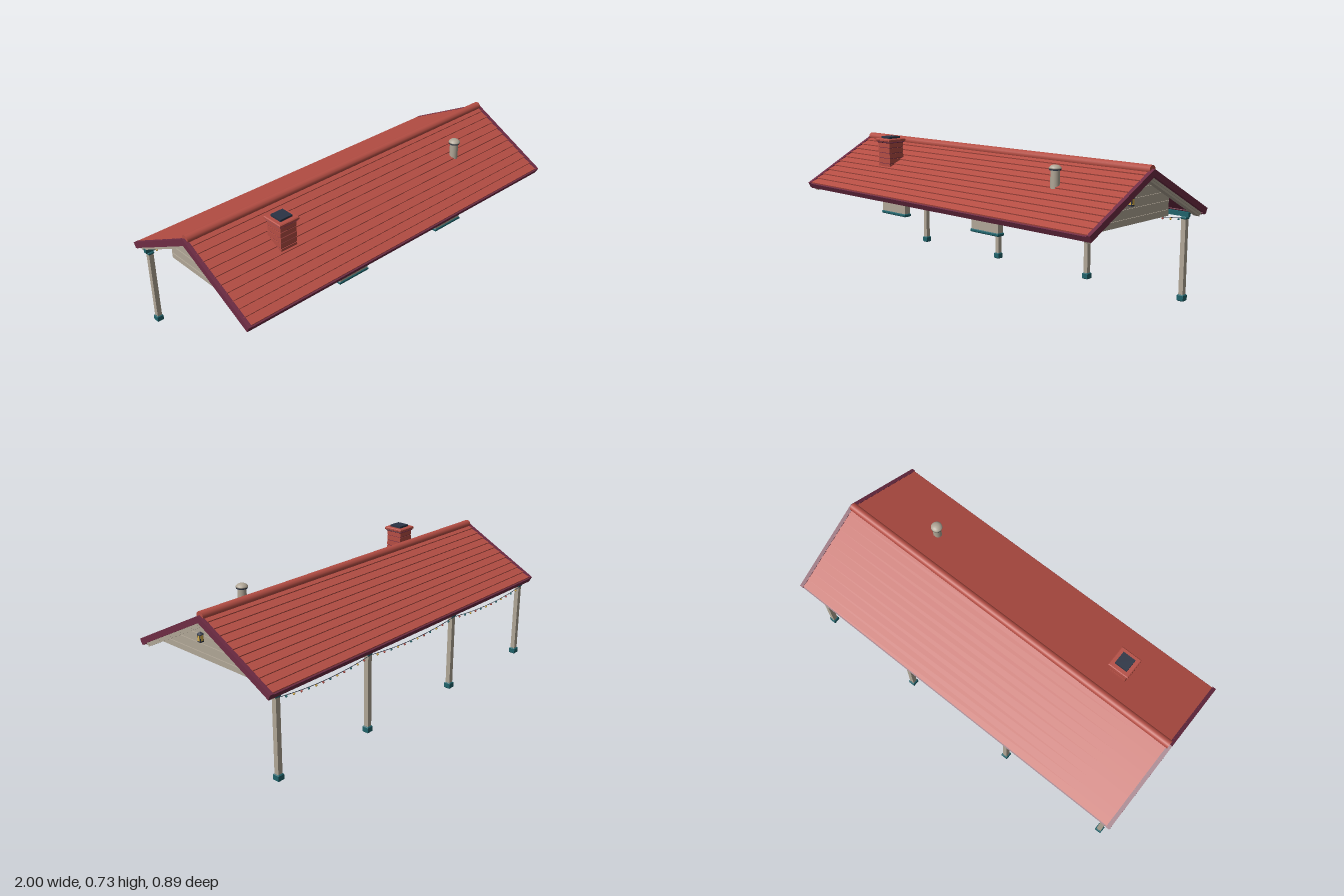
import * as THREE from 'three';

const mat = (name, color) => {
  const m = new THREE.MeshStandardMaterial({ color });
  m.name = name;
  return m;
};

export function createModel() {
  const root = new THREE.Group();
  const red = mat('tileRed', 0xb54e44);
  const maroon = mat('maroon', 0x6e2c44);
  const beige = mat('stoneBeige', 0xb0a696);
  const teal = mat('teal', 0x1f626a);
  const navy = mat('navy', 0x2b3344);
  const gold = mat('lampGold', 0xd8ae4a);

  const add = (name, geo, m, x = 0, y = 0, z = 0, parent = root) => {
    const mesh = new THREE.Mesh(geo, m);
    mesh.name = name;
    mesh.position.set(x, y, z);
    parent.add(mesh);
    return mesh;
  };
  const box = (name, m, w, h, d, x, y, z, parent) =>
    add(name, new THREE.BoxGeometry(w, h, d), m, x, y, z, parent);

  // Box with bevelled edges, for post bases and sills
  const bevelBox = (name, m, w, h, d, x, y, z, parent) => {
    const b = 0.004, a = w / 2 - b, c = d / 2 - b;
    const s = new THREE.Shape([[-a, -c], [a, -c], [a, c], [-a, c]].map(p => new THREE.Vector2(...p)));
    const g = new THREE.ExtrudeGeometry(s, {
      depth: h - 2 * b, bevelEnabled: true, bevelSize: b, bevelThickness: b, bevelSegments: 1,
    });
    g.rotateX(-Math.PI / 2).translate(0, b - h / 2, 0);
    return add(name, g, m, x, y, z, parent);
  };

  // Roof: u runs down the slope, v is perpendicular to it
  const pitch = 0.48, apex = 0.695, slopeLen = 0.503;
  const onSlope = (name, m, side, x, w, u0, u1, v0, v1, tilt = 0) => {
    const u = (u0 + u1) / 2, v = (v0 + v1) / 2;
    const c = Math.cos(pitch), s = Math.sin(pitch);
    const mesh = box(name, m, w, v1 - v0, u1 - u0, x, apex - u * s + v * c, side * (u * c + v * s));
    mesh.rotation.x = side * (pitch - tilt);
  };
  const rows = 11, step = 0.492 / rows;
  for (const side of [1, -1]) {
    onSlope('roofDeck', maroon, side, 0, 1.97, 0, 0.495, -0.03, -0.012);
    onSlope('eaveFascia', maroon, side, 0, 1.99, 0.487, slopeLen, -0.034, -0.006);
    for (let i = 0; i < rows; i++) {
      onSlope('tileCourse', red, side, 0, 1.975, i * step, (i + 1) * step + 0.004, -0.015, -0.003, 0.13);
    }
    for (const end of [1, -1]) {
      onSlope('bargeBoard', maroon, side, end * 0.99, 0.02, 0, slopeLen, -0.03, 0);
      onSlope('rakeTrim', beige, side, end * 0.962, 0.03, 0, 0.493, -0.05, -0.029);
      onSlope('rakeTrimLip', beige, side, end * 0.968, 0.03, 0, 0.496, -0.04, -0.029);
    }
  }
  const ridge = add('ridgeCap', new THREE.CylinderGeometry(0.022, 0.022, 1.975, 12), red, 0, 0.69, 0);
  ridge.rotation.z = Math.PI / 2;

  // Gable walls with siding boards and a lantern at each end
  const gable = new THREE.Shape([
    [0.385, 0.443], [0.385, 0.463], [0, 0.663], [-0.237, 0.54], [-0.237, 0.443],
  ].map(p => new THREE.Vector2(...p)));
  const gableGeo = new THREE.ExtrudeGeometry(gable, { depth: 0.03, bevelEnabled: false });
  gableGeo.rotateY(-Math.PI / 2).translate(0.015, 0, 0);
  for (const end of [1, -1]) {
    add('gableWall', gableGeo, beige, end * 0.905, 0, 0);
    for (let i = 0; i < 5; i++) {
      const y = 0.472 + i * 0.0435;
      const reach = (0.65 - y) / 0.52;
      const z1 = Math.min(0.36, reach), z0 = -Math.min(0.231, reach);
      box('sidingBoard', beige, 0.006, 0.004, z1 - z0, end * 0.922, y, (z0 + z1) / 2);
    }
    const lantern = new THREE.Group();
    lantern.name = 'lantern';
    lantern.position.set(end * 0.933, 0.55, 0.075);
    root.add(lantern);
    box('lanternBody', navy, 0.02, 0.038, 0.02, 0, 0, 0, lantern);
    box('lanternPane', gold, 0.003, 0.026, 0.013, end * 0.0105, 0.001, 0, lantern);
    for (const s of [1, -1]) box('lanternPane', gold, 0.013, 0.026, 0.003, 0, 0.001, s * 0.0105, lantern);
    const cap = add('lanternRoof', new THREE.ConeGeometry(0.017, 0.013, 4), navy, 0, 0.0255, 0, lantern);
    cap.rotation.y = Math.PI / 4;
  }

  // Short hanging wall panels with teal sills
  for (const x of [-0.33, 0.33]) {
    for (const z of [0.367, -0.219]) {
      box('wallPanel', beige, 0.175, 0.085, 0.033, x, 0.4125, z);
      bevelBox('panelSill', teal, 0.183, 0.016, 0.04, x, 0.369, z);
    }
  }

  // Porch posts and beam
  const postX = [-0.955, -0.33, 0.325, 0.915], postZ = -0.387;
  for (const x of postX) {
    const post = new THREE.Group();
    post.name = 'porchPost';
    post.position.set(x, 0, postZ);
    root.add(post);
    box('postShaft', beige, 0.025, 0.4, 0.025, 0, 0.21, 0, post);
    bevelBox('postBase', teal, 0.035, 0.033, 0.035, 0, 0.0165, 0, post);
    bevelBox('postCapital', teal, 0.031, 0.014, 0.031, 0, 0.412, 0, post);
  }
  box('porchBeam', teal, 1.92, 0.021, 0.02, -0.02, 0.43, postZ);

  // String lights sagging between the posts
  const bulbGeo = new THREE.SphereGeometry(0.0055, 8, 6);
  const bulbMats = [red, gold, teal];
  for (let i = 0; i < 3; i++) {
    const at = t => new THREE.Vector3(
      THREE.MathUtils.lerp(postX[i], postX[i + 1], t), 0.408 - 0.08 * t * (1 - t), -0.403);
    const curve = new THREE.CatmullRomCurve3([0, 0.25, 0.5, 0.75, 1].map(at));
    add('lightWire', new THREE.TubeGeometry(curve, 16, 0.0015, 5), navy);
    for (let k = 1; k < 13; k++) {
      const p = at(k / 13);
      add('lightBulb', bulbGeo, bulbMats[(k + i) % 3], p.x, p.y - 0.006, p.z);
    }
  }

  // Brick chimney
  const chimney = new THREE.Group();
  chimney.name = 'chimney';
  chimney.position.set(-0.59, 0, 0.184);
  root.add(chimney);
  box('chimneyCore', maroon, 0.089, 0.2, 0.089, 0, 0.606, 0, chimney);
  for (let i = 0; i < 7; i++) box('brickCourse', red, 0.094, 0.025, 0.094, 0, 0.518 + i * 0.0285, 0, chimney);
  bevelBox('chimneyCollar', maroon, 0.106, 0.008, 0.106, 0, 0.704, 0, chimney);
  bevelBox('chimneyCap', red, 0.115, 0.016, 0.115, 0, 0.715, 0, chimney);
  box('chimneyPot', navy, 0.07, 0.014, 0.07, 0, 0.726, 0, chimney);

  // Vent pipe with domed cap
  const vent = new THREE.Group();
  vent.name = 'ventPipe';
  vent.position.set(0.585, 0, 0.184);
  root.add(vent);
  add('pipe', new THREE.CylinderGeometry(0.022, 0.022, 0.12, 16), beige, 0, 0.61, 0, vent);
  add('pipeBand', new THREE.CylinderGeometry(0.028, 0.028, 0.007, 16), navy, 0, 0.671, 0, vent);
  const dome = [[0, 0], [0.03, 0], [0.029, 0.006], [0.02, 0.014], [0.01, 0.0175], [0, 0.018]];
  add('pipeCap', new THREE.LatheGeometry(dome.map(p => new THREE.Vector2(...p)), 16), beige, 0, 0.674, 0, vent);

  return root;
}
